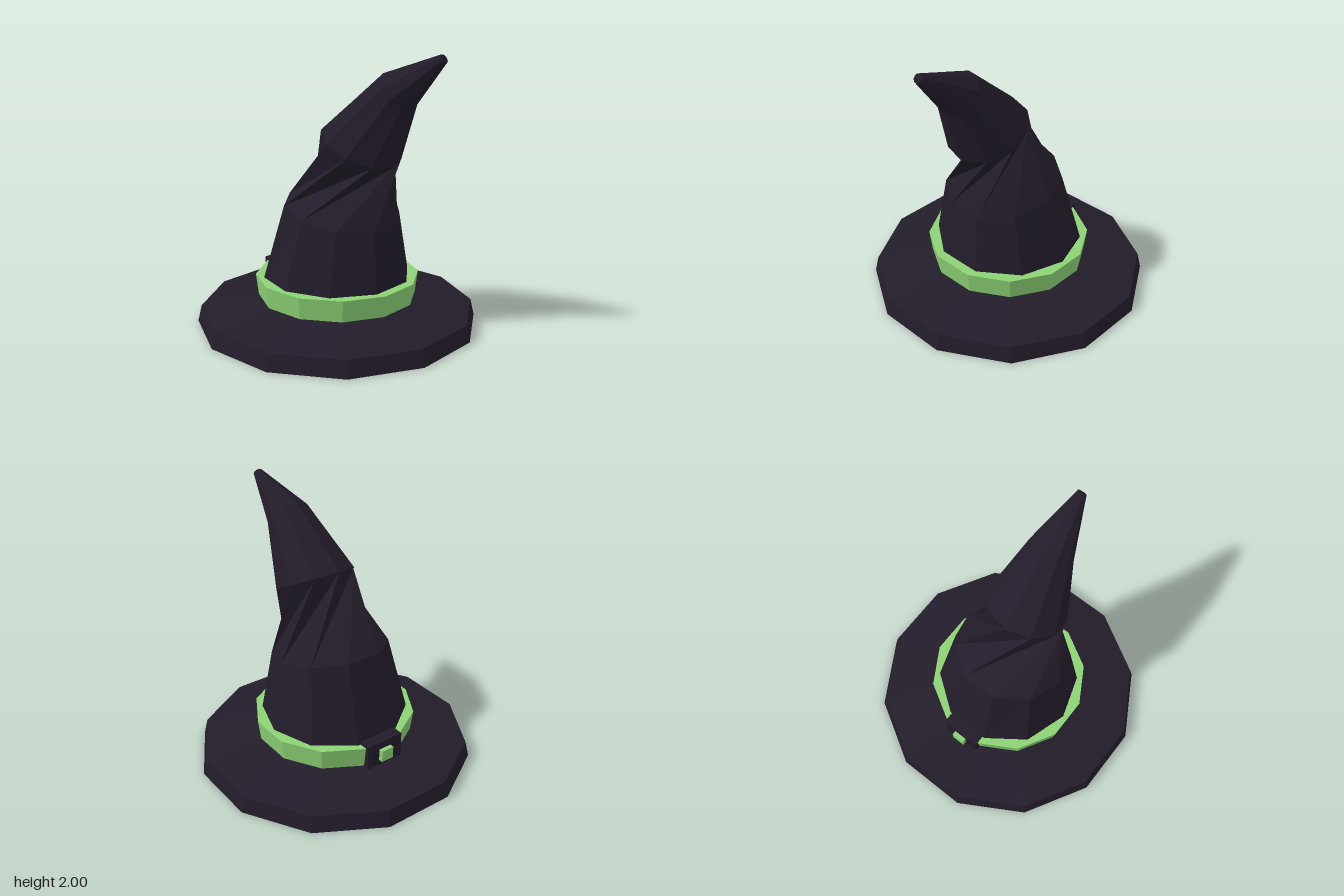
import * as THREE from 'three';

const dark = new THREE.MeshStandardMaterial({ color: 0x231c2a, flatShading: true });
const green = new THREE.MeshStandardMaterial({ color: 0x8cd375, flatShading: true });

function add(group, name, geometry, material) {
  const mesh = new THREE.Mesh(geometry, material);
  mesh.name = name;
  group.add(mesh);
  return mesh;
}

// Twelve-sided turned part with flats facing front, back and sides
function turned(profile) {
  const points = profile.map(([r, y]) => new THREE.Vector2(r, y));
  return new THREE.LatheGeometry(points, 12).rotateY(Math.PI / 12);
}

// Ten-sided loft through tilted rings, closed at the last one
function loft(rings, sides = 10) {
  const positions = [], index = [];
  for (const { c, r, tilt, twist } of rings) {
    for (let i = 0; i < sides; i++) {
      const a = THREE.MathUtils.degToRad(twist) + (i / sides) * Math.PI * 2;
      const forward = r * Math.sin(a);
      positions.push(
        c[0] + r * Math.cos(a),
        c[1] - forward * Math.sin(tilt),
        c[2] + forward * Math.cos(tilt)
      );
    }
  }
  for (let k = 0; k < rings.length - 1; k++) {
    for (let i = 0; i < sides; i++) {
      const j = (i + 1) % sides;
      const l = k * sides, u = l + sides;
      index.push(l + i, u + i, l + j, l + j, u + i, u + j);
    }
  }
  const last = (rings.length - 1) * sides;
  for (let i = 1; i < sides - 1; i++) index.push(last, last + i + 1, last + i);
  const geometry = new THREE.BufferGeometry();
  geometry.setAttribute('position', new THREE.Float32BufferAttribute(positions, 3));
  geometry.setIndex(index);
  geometry.computeVertexNormals();
  return geometry;
}

export function createModel() {
  const hat = new THREE.Group();
  hat.name = 'witchHat';

  // Brim with a closed underside
  add(hat, 'brim', turned([[0, 0], [1.032, 0], [1.004, 0.12], [0.575, 0.2], [0, 0.2]]), dark);

  // Band, flaring slightly upward
  add(hat, 'band', turned([[0.58, 0.195], [0.6, 0.357], [0, 0.357]]), green);

  // Crown, twisted in the middle and drooping forward
  add(hat, 'crown', loft([
    { c: [0, 0.35, -0.004], r: 0.543, tilt: 0, twist: 0 },
    { c: [0, 0.85, 0.05], r: 0.43, tilt: 0.19, twist: 0 },
    { c: [0.01, 1.345, 0.215], r: 0.3, tilt: 0.47, twist: -58 },
    { c: [0.035, 1.735, 0.505], r: 0.163, tilt: 0.785, twist: -58 },
    { c: [0.065, 1.973, 0.85], r: 0.033, tilt: 0.95, twist: -58 },
  ]), dark);

  // Buckle at the back with a small square stud
  add(hat, 'buckle', new THREE.BoxGeometry(0.3, 0.19, 0.09), dark).position.set(0, 0.285, -0.562);
  add(hat, 'buckleStud', new THREE.BoxGeometry(0.1, 0.09, 0.06), green).position.set(0, 0.277, -0.61);

  return hat;
}
